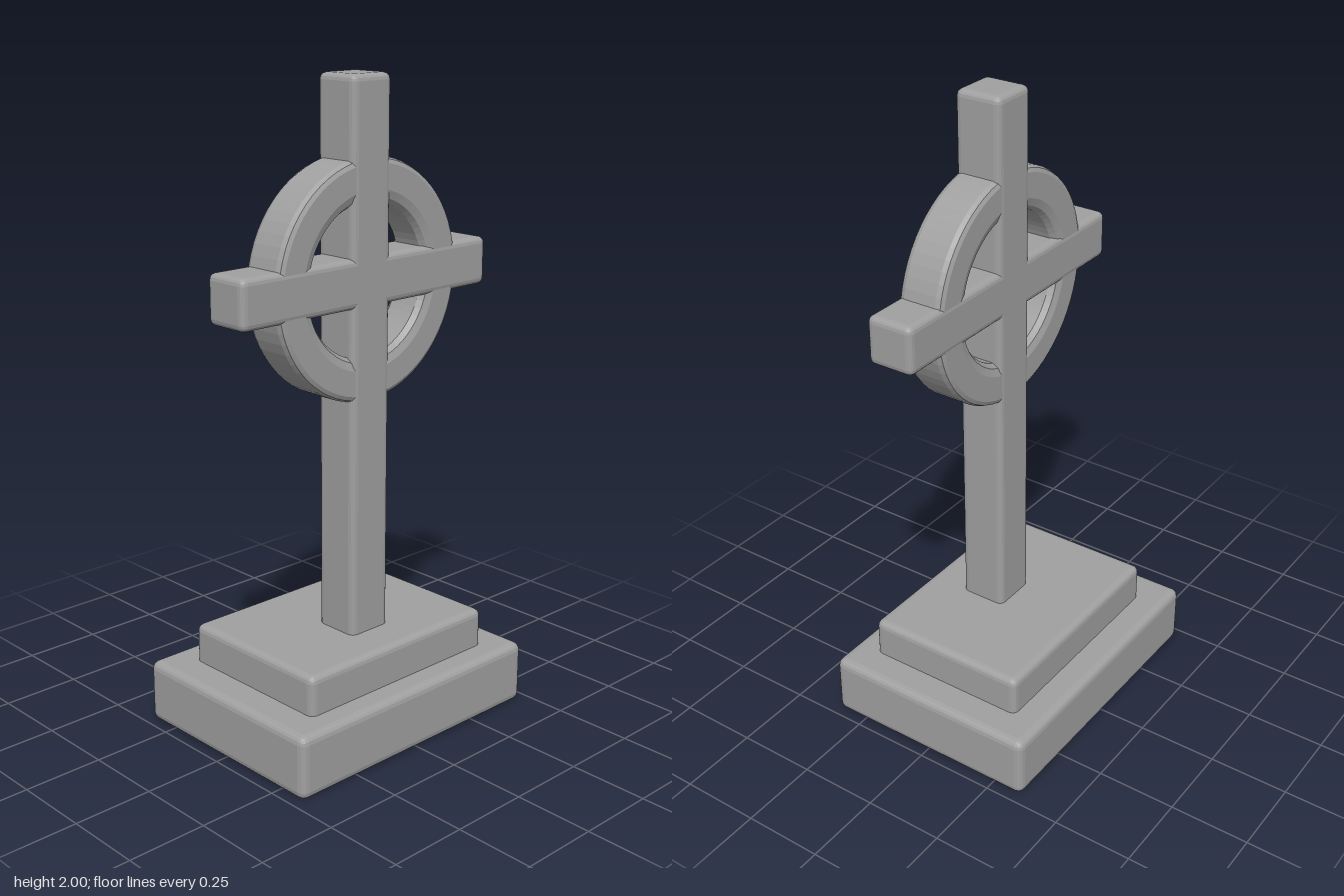
import * as THREE from 'three';
import { RoundedBoxGeometry } from 'three/addons/geometries/RoundedBoxGeometry.js';

export function createModel() {
  const model = new THREE.Group();
  model.name = 'ringedStoneCross';
  const stone = new THREE.MeshStandardMaterial({ color: 0xa0a0a0, flatShading: true });
  stone.name = 'grey stone';

  const add = (name, geometry, x, y, z) => {
    const mesh = new THREE.Mesh(geometry, stone);
    mesh.name = name;
    mesh.position.set(x, y, z);
    model.add(mesh);
  };
  // Block with softened edges, given by its extents
  const block = (name, [x0, x1], [y0, y1], [z0, z1], radius) =>
    add(name, new RoundedBoxGeometry(x1 - x0, y1 - y0, z1 - z0, 2, radius),
      (x0 + x1) / 2, (y0 + y1) / 2, (z0 + z1) / 2);

  // Stepped base
  block('plinth', [-0.473, 0.473], [0.005, 0.203], [-0.355, 0.355], 0.025);
  block('upperStep', [-0.363, 0.367], [0.17, 0.325], [-0.26, 0.273], 0.022);

  // Cross, set slightly forward on the base
  const depth = [-0.007, 0.143];
  block('post', [-0.076, 0.075], [0.28, 2], depth, 0.02);
  block('crossArm', [-0.488, 0.488], [1.337, 1.485], depth, 0.02);

  // Ring: closed bevelled section turned round the crossing
  const h = 0.073;
  const section = [
    [0.34, -h], [0.352, -h + 0.006], [0.358, -h + 0.02],
    [0.358, h - 0.02], [0.352, h - 0.006], [0.34, h],
    [0.265, h], [0.242, h - 0.008], [0.23, h - 0.025],
    [0.23, -h + 0.025], [0.242, -h + 0.008], [0.265, -h], [0.34, -h],
  ].map(([r, y]) => new THREE.Vector2(r, y));
  add('ring', new THREE.LatheGeometry(section, 64).rotateX(Math.PI / 2), 0, 1.412, 0.068);

  return model;
}
